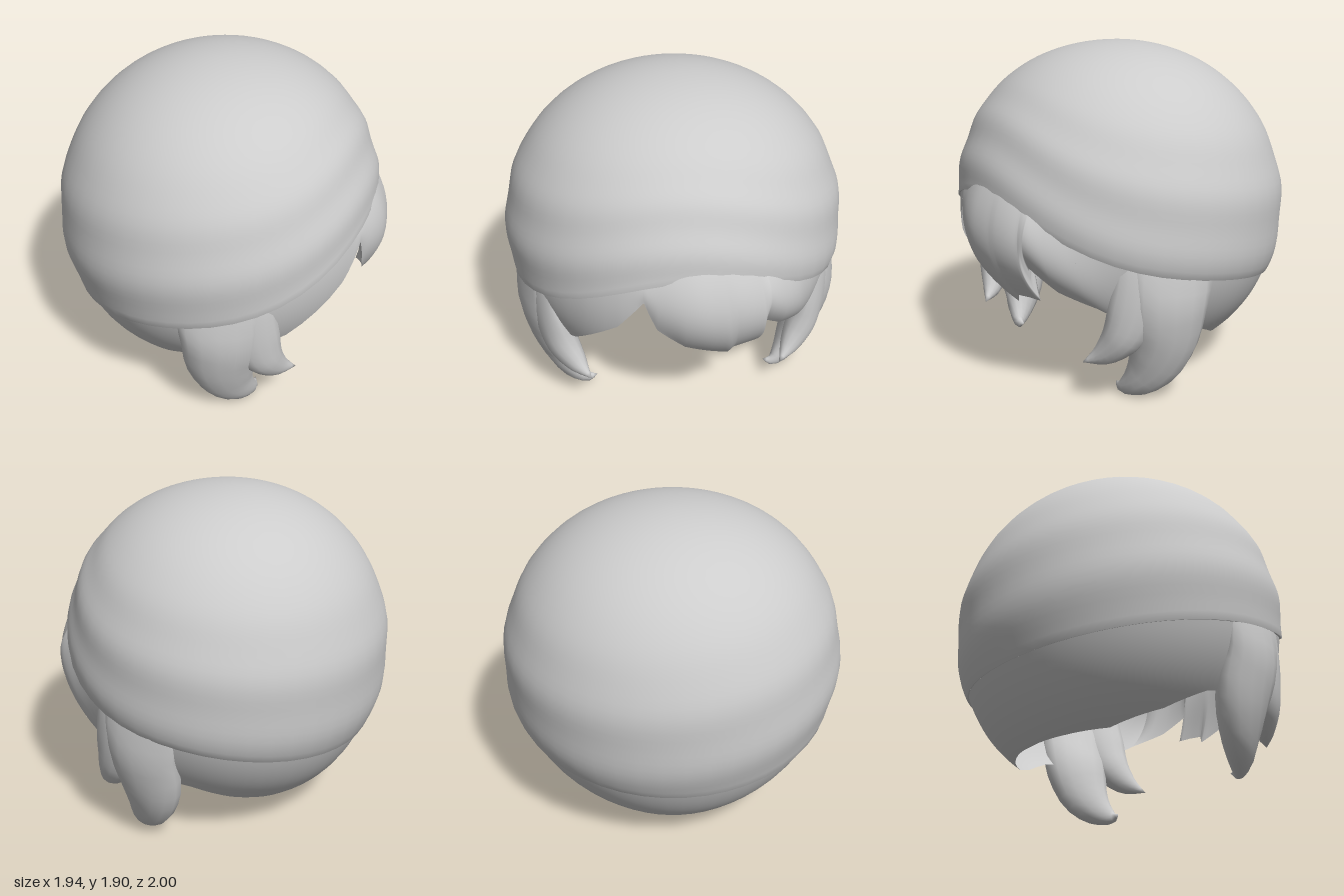
import * as THREE from 'three';
import { mergeVertices } from 'three/addons/utils/BufferGeometryUtils.js';

const grey = new THREE.MeshStandardMaterial({ color: 0xcccccc, side: THREE.DoubleSide });
grey.name = 'light grey';

const CY = 0.95;
const { degToRad: rad, lerp, smoothstep } = THREE.MathUtils;

// Point on the rounded head: th runs from the crown down, phi from the face (+x) towards +z
function headPoint(th, phi, k = 1) {
  const c = Math.cos(phi);
  const fullness = th < Math.PI / 2 ? 0.65 + 0.35 * c : Math.max(0, -c);
  const r = k * (1 + 0.03 * fullness * Math.sin(2 * th) ** 2);
  const s = Math.sin(th) * r;
  return new THREE.Vector3(
    -0.02 + 0.95 * s * c,
    CY + 0.95 * Math.cos(th) * r,
    s * Math.sin(phi)
  );
}
const thAt = (y) => Math.acos(THREE.MathUtils.clamp((y - CY) / 0.95, -1, 1));

// Lower edge of the wrap: low on the nape, high on the forehead
function seamY(phi) {
  const c = Math.cos(phi);
  return 0.7 + 0.17 * c + 0.25 * Math.max(0, c) ** 4;
}

// Smooth surface through a grid of points
function surface(name, rows, cols, pointAt) {
  const pos = [], idx = [];
  for (let i = 0; i <= rows; i++)
    for (let j = 0; j <= cols; j++) pos.push(...pointAt(i / rows, j / cols).toArray());
  const n = cols + 1;
  for (let i = 0; i < rows; i++)
    for (let j = 0; j < cols; j++) {
      const a = i * n + j, b = a + n;
      idx.push(a, a + 1, b, a + 1, b + 1, b);
    }
  let g = new THREE.BufferGeometry();
  g.setAttribute('position', new THREE.Float32BufferAttribute(pos, 3));
  g.setIndex(idx);
  g = mergeVertices(g, 1e-4);
  g.computeVertexNormals();
  const mesh = new THREE.Mesh(g, grey);
  mesh.name = name;
  return mesh;
}

// Wrapped crown with soft slanting folds and a slightly tucked-in lip
const LIP = 0.982;
function crownWrap() {
  return surface('crownWrap', 40, 48, (u, w) => {
    const phi = (w * 2 - 1) * Math.PI;
    const v = Math.min(1, u / 0.95);
    const th = lerp(0, thAt(seamY(phi)), v);
    const fold = 0.006 * Math.sin(v * 30 + 1.8 * Math.sin(phi)) * smoothstep(v, 0.45, 0.75);
    const edge = 0.999 + fold;
    return headPoint(th, phi, lerp(edge, LIP, Math.max(0, u - 0.95) / 0.05));
  });
}

// Hairline from the face to the nape: [angle at root, angle at edge, edge height]
const side = [[60, 60, 0.45], [75, 75, 0.4], [90, 90, 0.36], [107, 107, 0.26],
  [131, 131, 0.18], [155, 155, 0.17], [180, 180, 0.165]];
const fringe = [
  [-40, -46, 0.57], [-30, -33, 0.65], [-24, -23, 0.77], [-22.5, -23, 0.68], [-21, -25, 0.57],
  [-17, -20, 0.575], [-12, -15, 0.57], [-9, -13.5, 0.52], [-4, -7, 0.57], [3, 3, 0.65],
  [11, 12, 0.8], [16, 16, 0.99]
];
const hairline = [
  ...side.map(([a, b, y]) => [-a, -b, y]).reverse(),
  ...fringe, [25, 25, 0.79], [38, 46, 0.53], ...side
];
const columns = (line) => (line.length - 1) * 4;

// Hair point on a stretch of hairline: u from root to edge, w along the stretch
function hairPoint(line, u, w, inset) {
  const x = w * (line.length - 1);
  const i = Math.min(Math.floor(x), line.length - 2);
  const [deg, tipDeg, y] = line[i].map((a, n) => lerp(a, line[i + 1][n], x - i));
  const root = rad(deg), end = thAt(y);
  const front = smoothstep(16 - deg, -4, 18) * smoothstep(deg, -58, -14);
  const top = Math.min(thAt(seamY(root)) - 0.08 * front, end - 0.05);
  const bulge = 0.068 * Math.sin(Math.PI * u) * front;
  const phi = lerp(root, rad(tipDeg), u * u);
  const p = headPoint(lerp(top, end, u), phi, LIP + 0.008 * u + bulge - inset);
  // The nape stays full towards its lower edge
  p.x -= 0.04 * u * u * Math.max(0, -Math.cos(phi)) ** 2;
  return p;
}

// Outer hair: nape, sides and pointed fringe
const hair = () => surface('hairAndFringe', 14, columns(hairline),
  (u, w) => hairPoint(hairline, u, w, 0));

// Inner side of the thick fringe
const fringeBack = () => surface('fringeBack', 12, columns(fringe),
  (u, w) => hairPoint(fringe, 1 - u, w, 0.13 * Math.sin(Math.PI * u) * Math.sqrt(Math.sin(Math.PI * w) + 1e-9)));

// Curling lock: rows are [x, y, z, half width, half thickness]
function lock(name, rows, sign) {
  const curve = new THREE.CatmullRomCurve3(rows.map(([x, y, z]) => new THREE.Vector3(x, y, z * sign)));
  const sizes = new THREE.CatmullRomCurve3(rows.map((r) => new THREE.Vector3(r[3], r[4], 0)));
  return surface(name, 18, 14, (u, w) => {
    const p = curve.getPoint(u), t = curve.getTangent(u), s = sizes.getPoint(u);
    const out = new THREE.Vector3(p.x, 0, p.z).normalize();
    out.addScaledVector(t, -out.dot(t)).normalize();
    const across = new THREE.Vector3().crossVectors(t, out);
    const a = w * Math.PI * 2;
    return p.addScaledVector(out, Math.cos(a) * Math.max(0, s.y))
      .addScaledVector(across, Math.sin(a) * Math.max(0, s.x));
  });
}

const sideLock = [
  [0.24, 0.95, 0.87, 0.2, 0.03], [0.24, 0.78, 0.88, 0.23, 0.05], [0.24, 0.58, 0.85, 0.22, 0.1],
  [0.22, 0.38, 0.79, 0.2, 0.12], [0.25, 0.2, 0.73, 0.16, 0.1], [0.31, 0.09, 0.66, 0.1, 0.07],
  [0.36, 0.04, 0.58, 0.04, 0.03], [0.36, 0.05, 0.52, 0, 0]
];
const templeLock = [
  [0.43, 0.95, 0.79, 0.1, 0.03], [0.42, 0.78, 0.8, 0.12, 0.05], [0.42, 0.58, 0.77, 0.14, 0.08],
  [0.45, 0.42, 0.72, 0.12, 0.09], [0.52, 0.3, 0.64, 0.07, 0.06], [0.61, 0.24, 0.56, 0, 0]
];

export function createModel() {
  const model = new THREE.Group();
  model.name = 'wrappedHair';
  model.add(crownWrap(), hair(), fringeBack());
  for (const sign of [1, -1]) {
    model.add(lock('sideLock', sideLock, sign), lock('templeLock', templeLock, sign));
  }
  return model;
}
